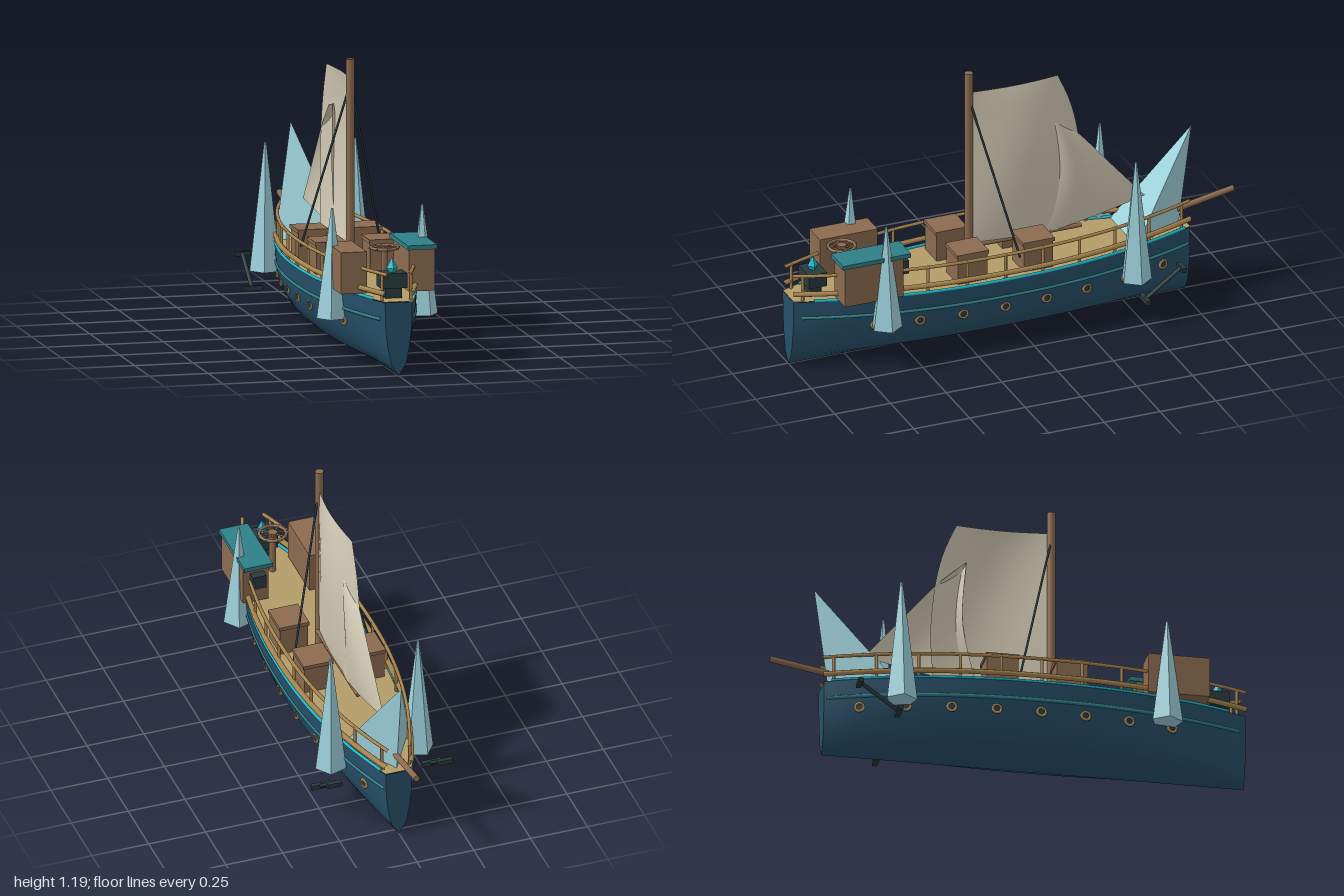
import * as THREE from 'three';

const V = (x, y, z) => new THREE.Vector3(x, y, z);
const color = (name, hex, extra = {}) => {
  const m = new THREE.MeshStandardMaterial({ color: hex, ...extra });
  m.name = name;
  return m;
};

export function createModel() {
  const root = new THREE.Group();
  root.name = 'sailingShip';
  const navy = color('navyHull', 0x27506a), deckTan = color('deckTan', 0xb59c68);
  const railTan = color('railTan', 0xa9854f), brown = color('woodBrown', 0x8c6b50);
  const teal = color('teal', 0x2f8088), cyan = color('glowCyan', 0x1bb8ca);
  const iron = color('darkIron', 0x2a3a3d);
  const ice = color('ice', 0x9fd3dd, { flatShading: true });
  const cloth = color('sailCloth', 0xd2cab4, { side: THREE.DoubleSide });

  const add = (name, geo, mat, x = 0, y = 0, z = 0) => {
    const m = new THREE.Mesh(geo, mat);
    m.name = name;
    m.position.set(x, y, z);
    root.add(m);
    return m;
  };
  // Box given by its minimum and maximum corners
  const box = (name, mat, a, b) => add(name, new THREE.BoxGeometry(b[0] - a[0], b[1] - a[1], b[2] - a[2]), mat,
    (a[0] + b[0]) / 2, (a[1] + b[1]) / 2, (a[2] + b[2]) / 2);
  // Round bar between two points
  const bar = (name, mat, a, b, r, sides = 10) => {
    const d = b.clone().sub(a);
    const m = add(name, new THREE.CylinderGeometry(r, r, d.length(), sides), mat);
    m.position.copy(a).addScaledVector(d, 0.5);
    m.quaternion.setFromUnitVectors(V(0, 1, 0), d.normalize());
    return m;
  };

  // Hull: one cross-section, scaled along the length by the beam
  const Z0 = -0.78, Z1 = 1, N = 40;
  const beam = z => 0.058 + 0.16 * (1 - Math.pow(Math.min(1, Math.abs((z - 0.11) / 0.89)), 2.2));
  const profile = [[1, 0.31], [0.985, 0.26], [0.95, 0.2], [0.82, 0.13], [0.69, 0.09], [0.54, 0.05], [0, 0]];
  const ring = [...profile, ...profile.slice(0, -1).reverse().map(([x, y]) => [-x, y])];
  const widthAt = y => {
    const i = profile.findIndex(p => p[1] <= y);
    if (i <= 0) return 1;
    const [x1, y1] = profile[i - 1], [x2, y2] = profile[i];
    return x2 + (x1 - x2) * (y - y2) / (y1 - y2);
  };
  const pos = [], idx = [], n = ring.length;
  for (let i = 0; i <= N; i++) {
    const z = Z0 + (Z1 - Z0) * i / N;
    ring.forEach(([x, y]) => pos.push(x * beam(z), y, z));
    for (let j = 0; i < N && j < n - 1; j++) {
      const a = i * n + j;
      idx.push(a, a + n, a + 1, a + 1, a + n, a + n + 1);
    }
  }
  const hull = new THREE.BufferGeometry();
  hull.setAttribute('position', new THREE.Float32BufferAttribute(pos, 3));
  hull.setIndex(idx);
  hull.computeVertexNormals();
  add('hull', hull, navy);
  for (const z of [Z0, Z1]) {
    const end = new THREE.ShapeGeometry(new THREE.Shape(ring.map(([x, y]) => new THREE.Vector2(x * beam(z), y))));
    if (z < 0) end.rotateY(Math.PI);
    add(z < 0 ? 'bowFace' : 'sternFace', end, navy, 0, 0, z);
  }

  // Deck
  const edge = [];
  for (let i = 0; i <= N; i++) edge.push(Z0 + (Z1 - Z0) * i / N);
  const outline = [...edge.map(z => new THREE.Vector2(beam(z), -z)),
    ...edge.slice().reverse().map(z => new THREE.Vector2(-beam(z), -z))];
  add('deck', new THREE.ShapeGeometry(new THREE.Shape(outline)).rotateX(-Math.PI / 2), deckTan, 0, 0.312, 0);

  // Tubes that follow the side of the hull
  const sideTube = (name, mat, s, y, r, inset, za, zb) => {
    const pts = [];
    for (let i = 0; i <= 24; i++) {
      const z = za + (zb - za) * i / 24;
      pts.push(V(s * (beam(z) * widthAt(y) - inset), y, z));
    }
    add(name, new THREE.TubeGeometry(new THREE.CatmullRomCurve3(pts), 60, r, 6), mat);
  };

  for (const s of [-1, 1]) {
    sideTube('upperRail', railTan, s, 0.425, 0.008, 0.012, Z0, Z1);
    sideTube('lowerRail', railTan, s, 0.345, 0.012, 0.004, Z0, Z1);
    sideTube('glowTrim', cyan, s, 0.315, 0.007, 0.003, -0.75, 0.92);
    sideTube('hullStripe', teal, s, 0.235, 0.008, 0.001, -0.77, 0.97);
    for (let i = 0; i < 11; i++) {
      const z = -0.74 + i * 0.17, x = s * (beam(z) - 0.012);
      bar('railPost', railTan, V(x, 0.31, z), V(x, 0.43, z), 0.007, 6);
    }
    // Portholes
    for (let i = 0; i < 8; i++) {
      const z = 0.67 - 0.187 * i, x = s * (beam(z) * widthAt(0.185) + 0.002);
      const turn = s * Math.PI / 2 - Math.atan((beam(z + 0.01) - beam(z - 0.01)) / 0.02) * -s;
      add('portholeRing', new THREE.TorusGeometry(0.018, 0.006, 6, 14), railTan, x, 0.185, z).rotation.y = turn;
      add('portholeGlass', new THREE.CircleGeometry(0.017, 14), iron, x + s * 0.003, 0.185, z).rotation.y = turn;
    }
    // Ice spires on the flanks
    for (const [z, top] of [[0.64, 0.65], [-0.48, 0.73]]) {
      const g = new THREE.CylinderGeometry(0.005, 0.067, top - 0.19, 5);
      add('iceSpire', g, ice, s * 0.192, (top + 0.19) / 2, z).rotation.y = s * Math.PI / 2;
    }
    // Anchors
    const x = s * 0.243, low = V(x, 0.115, -0.5), high = V(x, 0.23, -0.66);
    bar('anchorShank', iron, low, high, 0.009, 8);
    box('anchorArm', iron, [x - 0.042, 0.105, -0.51], [x + 0.042, 0.125, -0.49]);
    box('anchorStock', iron, [x - 0.032, 0.22, -0.675], [x + 0.032, 0.24, -0.655]);
    // Mast stays
    bar('stay', iron, V(s * 0.01, 1.05, 0.185), V(s * 0.17, 0.38, 0.03), 0.005, 6);
    // Deck crates with lids
    for (const z of [-0.05, 0.245]) {
      const cx = s * 0.115;
      box('crate', brown, [cx - 0.061, 0.312, z - 0.066], [cx + 0.061, 0.432, z + 0.066]);
      box('crateLid', brown, [cx - 0.066, 0.432, z - 0.071], [cx + 0.066, 0.448, z + 0.071]);
    }
  }

  // Ice shard leaning over the bow
  const A = [-0.15, 0.29, -0.49], B = [0.15, 0.29, -0.49], C = [0, 0.29, -0.75], T = [0, 0.75, -0.81];
  const shard = new THREE.BufferGeometry();
  shard.setAttribute('position', new THREE.Float32BufferAttribute([A, B, T, B, C, T, C, A, T, A, C, B].flat(), 3));
  shard.computeVertexNormals();
  add('bowIceShard', shard, ice);

  // Mast, bowsprit and boom
  bar('mast', brown, V(0, 0.3, 0.19), V(0, 1.19, 0.19), 0.018, 16);
  bar('bowsprit', brown, V(0, 0.372, -0.74), V(0, 0.42, -0.998), 0.013, 12);
  bar('boom', brown, V(0.01, 0.39, 0.19), V(0.01, 0.39, -0.31), 0.01, 8);

  // Sails: a billowing sheet between two edges, each given as [z, y] points
  const sail = (name, luff, leech, bulge, lean) => {
    const curve = pts => new THREE.SplineCurve(pts.map(p => new THREE.Vector2(...p)));
    const a = curve(luff), b = curve(leech), g = new THREE.PlaneGeometry(1, 1, 14, 14), p = g.attributes.position;
    for (let i = 0; i < p.count; i++) {
      const u = p.getX(i) + 0.5, v = 0.5 - p.getY(i);
      const q = a.getPoint(v).lerp(b.getPoint(v), u);
      const x = bulge * Math.sin(Math.PI * u) * (0.3 + 0.7 * Math.sin(Math.PI * v)) + lean * (1 - u);
      p.setXYZ(i, x, q.y, q.x);
    }
    g.computeVertexNormals();
    add(name, g, cloth);
  };
  sail('mainSail', [[0.18, 1.1], [0.18, 0.74], [0.18, 0.39]],
    [[-0.21, 1.1], [-0.265, 0.97], [-0.3, 0.82], [-0.32, 0.6], [-0.31, 0.4]], 0.05, 0.005);
  sail('foreSail', [[-0.165, 0.94], [-0.18, 0.66], [-0.12, 0.38]],
    [[-0.17, 0.935], [-0.3, 0.815], [-0.45, 0.64], [-0.6, 0.465]], 0.04, 0.015);

  // Deckhouses at the stern
  box('storeHouse', brown, [-0.2, 0.32, 0.56], [-0.09, 0.495, 0.82]);
  box('cabin', brown, [0.088, 0.32, 0.565], [0.2, 0.5, 0.828]);
  box('cabinRoof', teal, [0.08, 0.496, 0.535], [0.206, 0.515, 0.84]);
  box('cabinPanel', iron, [0.11, 0.405, 0.528], [0.17, 0.465, 0.565]);

  // Steering wheel lying flat on its post
  const wheelY = 0.498, wheelZ = 0.76;
  bar('wheelPost', brown, V(0, 0.31, wheelZ), V(0, wheelY, wheelZ), 0.014, 10);
  add('wheelRim', new THREE.TorusGeometry(0.056, 0.007, 8, 24).rotateX(Math.PI / 2), brown, 0, wheelY, wheelZ);
  add('wheelHub', new THREE.CylinderGeometry(0.02, 0.02, 0.014, 12), brown, 0, wheelY, wheelZ);
  for (let i = 0; i < 4; i++) {
    const c = 0.066 * Math.cos(i * Math.PI / 4), d = 0.066 * Math.sin(i * Math.PI / 4);
    bar('wheelSpoke', brown, V(-c, wheelY, wheelZ - d), V(c, wheelY, wheelZ + d), 0.004, 6);
  }

  // Brazier with a glowing crystal
  box('brazierFoot', iron, [-0.035, 0.312, 0.865], [0.035, 0.36, 0.915]);
  box('brazier', iron, [-0.055, 0.355, 0.848], [0.055, 0.418, 0.93]);
  add('glowCrystal', new THREE.OctahedronGeometry(0.024), cyan, 0, 0.435, 0.89).scale.y = 1.9;
  return root;
}
